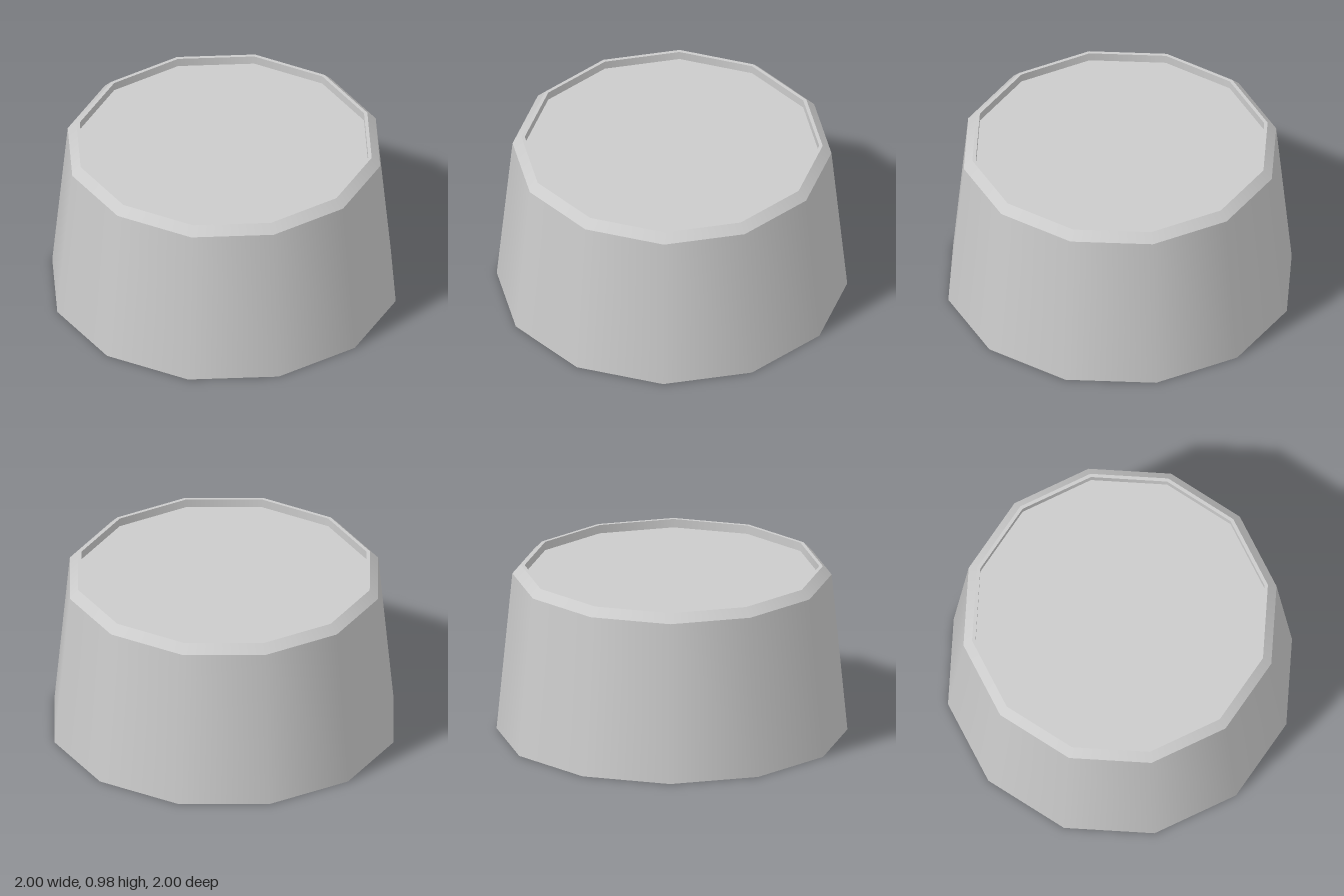
import * as THREE from 'three';

const SIDES = 12;

export function createModel() {
  const group = new THREE.Group();
  group.name = 'taperedTub';
  const material = new THREE.MeshStandardMaterial({ color: 0xcccccc });

  // Each band is its own lathe, so it is smooth around but sharp at its edges
  const band = (name, r0, y0, r1, y1) => {
    const points = [new THREE.Vector2(r0, y0), new THREE.Vector2(r1, y1)];
    const mesh = new THREE.Mesh(new THREE.LatheGeometry(points, SIDES), material);
    mesh.name = name;
    group.add(mesh);
  };

  band('base', 0, 0, 1, 0);
  band('taperedWall', 1, 0, 0.91, 0.93);
  band('bevel', 0.91, 0.93, 0.86, 0.98);
  band('rim', 0.86, 0.98, 0.84, 0.98);
  band('recessWall', 0.84, 0.98, 0.84, 0.93);
  band('recessFloor', 0.84, 0.93, 0, 0.93);

  return group;
}
